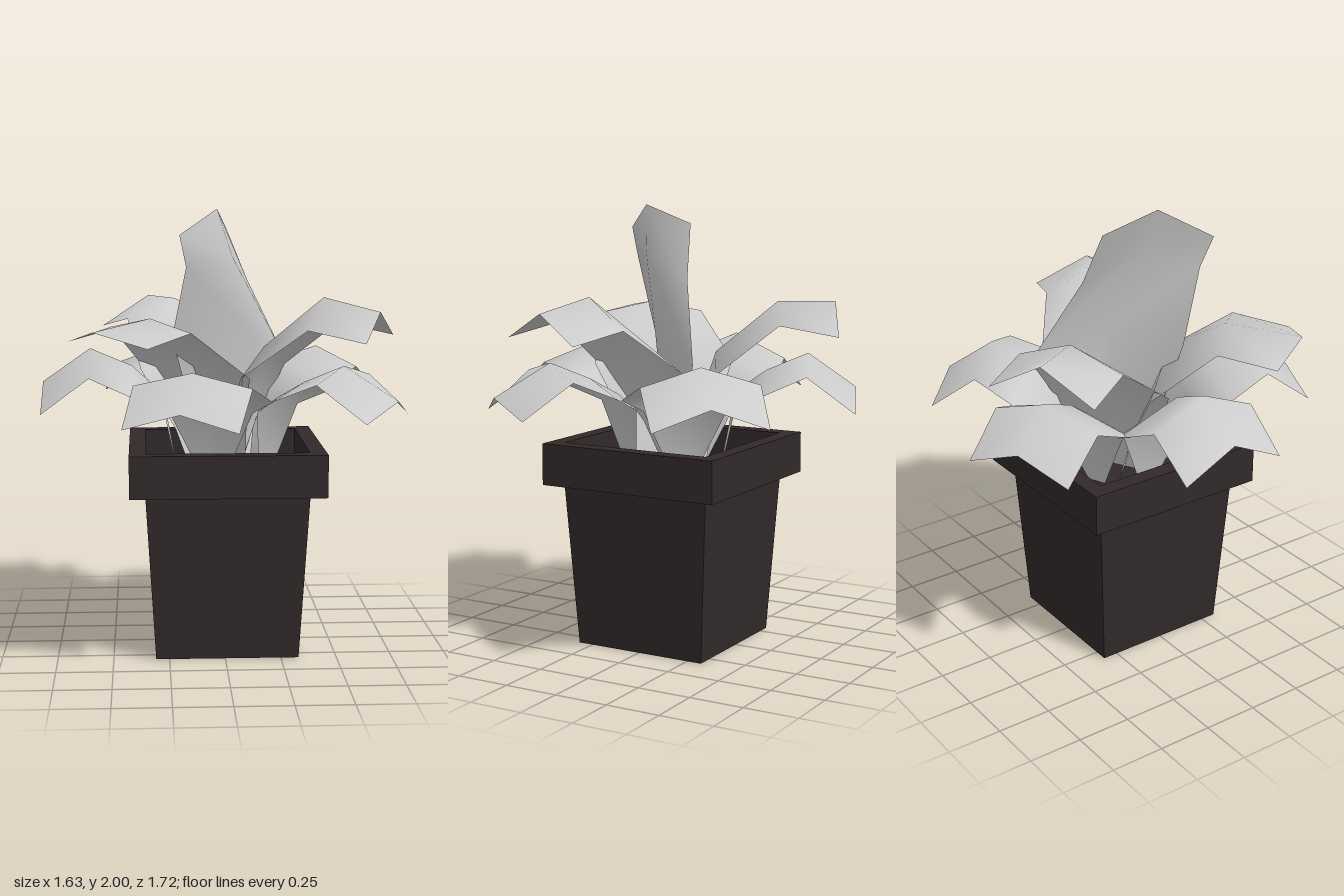
import * as THREE from 'three';

const leafGrey = new THREE.MeshStandardMaterial({ color: 0xcccccc, side: THREE.DoubleSide });
leafGrey.name = 'leafGrey';
const potBrown = new THREE.MeshStandardMaterial({ color: 0x322929 });
potBrown.name = 'potBrown';

const CENTER_X = 0.01;

function addMesh(group, name, geometry, material) {
  const mesh = new THREE.Mesh(geometry, material);
  mesh.name = name;
  group.add(mesh);
  return mesh;
}

// Smooth open sheet from rows of [left, ridge, right] points
function sheet(rows) {
  const positions = rows.flat(2);
  const index = [];
  for (let i = 0; i < rows.length - 1; i++) {
    for (let j = 0; j < 2; j++) {
      const a = i * 3 + j, b = a + 1, c = a + 3, d = a + 4;
      index.push(a, b, c, b, d, c);
    }
  }
  const geometry = new THREE.BufferGeometry();
  geometry.setAttribute('position', new THREE.Float32BufferAttribute(positions, 3));
  geometry.setIndex(index);
  geometry.computeVertexNormals();
  return geometry;
}

// Arching leaf: each profile row is [radius, edge height, half width, ridge rise].
// ridgeLift and tipLift change the fold of the blade and of its tip,
// tipPush moves the middle of the tip outward, tipScale narrows the tip.
function archedLeaf(profile, { degrees, ridgeLift = 0, tipLift = ridgeLift, tipPush = 0, tipScale = 1 }) {
  const angle = THREE.MathUtils.degToRad(degrees);
  const c = Math.cos(angle), s = Math.sin(angle);
  const point = (r, y, w) => [CENTER_X + r * c - w * s, y, r * s + w * c];
  return sheet(profile.map(([r, y, w, rise], i) => {
    const isTip = i === profile.length - 1;
    const lift = isTip ? tipLift : i > 1 ? ridgeLift : 0;
    const half = isTip ? w * tipScale : w;
    return [point(r, y, half), point(r + (isTip ? tipPush : 0), y + rise + lift, 0), point(r, y, -half)];
  }));
}

// Square tapered block with flat faces
function squareBlock(topHalf, bottomHalf, height) {
  const k = Math.SQRT2;
  const g = new THREE.CylinderGeometry(topHalf * k, bottomHalf * k, height, 4).rotateY(Math.PI / 4).toNonIndexed();
  g.computeVertexNormals();
  return g;
}

export function createModel() {
  const model = new THREE.Group();
  model.name = 'pottedPlant';

  // Pot: tapered body, open square rim, soil
  const pot = new THREE.Group();
  pot.name = 'pot';
  pot.position.x = CENTER_X;
  model.add(pot);
  addMesh(pot, 'potBody', squareBlock(0.365, 0.32, 0.76), potBrown).position.y = 0.38;

  const square = (Type, h) => new Type([[-h, -h], [h, -h], [h, h], [-h, h]].map(p => new THREE.Vector2(...p)));
  const rimShape = square(THREE.Shape, 0.435);
  rimShape.holes.push(square(THREE.Path, 0.36));
  const rim = new THREE.ExtrudeGeometry(rimShape, { depth: 0.19, bevelEnabled: false });
  addMesh(pot, 'potRim', rim.rotateX(-Math.PI / 2), potBrown).position.y = 0.75;
  addMesh(pot, 'soil', new THREE.BoxGeometry(0.72, 0.02, 0.72), potBrown).position.y = 0.78;

  // Lower ring of five leaves on narrow stems
  const lower = [
    [0.21, 0.78, 0.04, 0],
    [0.28, 1.11, 0.19, 0.05],
    [0.42, 1.18, 0.31, 0.10],
    [0.61, 1.26, 0.26, 0.10],
    [0.825, 1.10, 0.25, 0.11],
  ];
  [
    { degrees: 180, ridgeLift: 0.01 },
    { degrees: 105.5, ridgeLift: -0.04 },
    { degrees: 33.5, ridgeLift: -0.04, tipLift: -0.03, tipPush: 0.05, tipScale: 0.84 },
    { degrees: -40.5, ridgeLift: -0.02 },
    { degrees: -113.5, ridgeLift: -0.02 },
  ].forEach(leaf => addMesh(model, 'lowerLeaf', archedLeaf(lower, leaf), leafGrey));

  // Upper ring of three broad leaves
  const upper = [
    [0.02, 0.78, 0.15, 0],
    [0.08, 1.0, 0.21, 0.02],
    [0.19, 1.27, 0.33, 0.08],
    [0.47, 1.48, 0.25, 0.10],
    [0.73, 1.43, 0.25, 0.09],
  ];
  [
    { degrees: -118, ridgeLift: -0.01, tipLift: 0.05 },
    { degrees: 22, ridgeLift: 0.03 },
    { degrees: 136, ridgeLift: -0.05, tipLift: -0.03, tipPush: 0.08 },
  ].forEach(leaf => addMesh(model, 'upperLeaf', archedLeaf(upper, leaf), leafGrey));

  // Tall central leaf
  addMesh(model, 'centerLeaf', sheet([
    [[-0.07, 0.78, 0.05], [0.02, 0.78, 0.03], [0.08, 0.78, -0.06]],
    [[-0.13, 1.05, 0.10], [0.06, 1.05, 0.03], [0.17, 1.03, -0.14]],
    [[-0.23, 1.43, 0.17], [0.13, 1.44, 0.03], [0.30, 1.32, -0.26]],
    [[-0.17, 1.75, 0.30], [0.04, 1.79, 0.13], [0.12, 1.68, -0.13]],
    [[-0.20, 1.89, 0.35], [-0.03, 2.0, 0.17], [0.02, 1.92, -0.09]],
  ]), leafGrey);

  return model;
}
